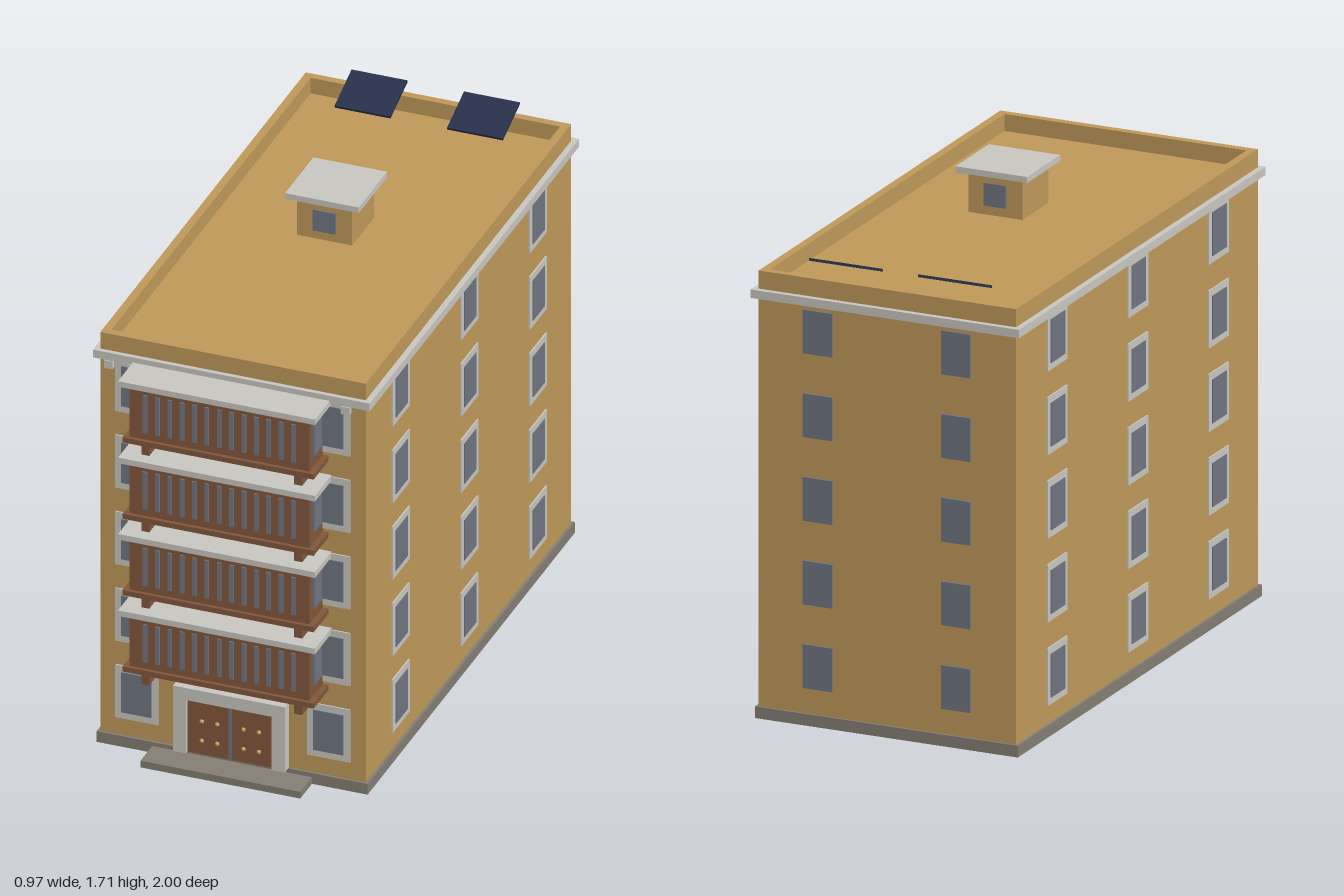
import * as THREE from 'three';

const mat = (name, color) => Object.assign(new THREE.MeshStandardMaterial({ color }), { name });

export function createModel() {
  const root = new THREE.Group();
  root.name = 'apartmentBuilding';
  const wall = mat('ochre wall', 0xc09a5a);
  const stone = mat('pale stone', 0xcac8c1);
  const wood = mat('brown wood', 0x82573b);
  const glass = mat('grey glass', 0x707683);
  const base = mat('plinth grey', 0x857f74);
  const solar = mat('solar blue', 0x28314c);
  const brass = mat('brass', 0xc9a35a);

  // Box given by its extents along each axis
  const box = (name, m, [x0, x1], [y0, y1], [z0, z1], parent = root) => {
    const mesh = new THREE.Mesh(new THREE.BoxGeometry(x1 - x0, y1 - y0, z1 - z0), m);
    mesh.position.set((x0 + x1) / 2, (y0 + y1) / 2, (z0 + z1) / 2);
    mesh.name = name;
    parent.add(mesh);
    return mesh;
  };
  const around = (c, w) => [c - w / 2, c + w / 2];

  const W = 0.465, ZF = 0.852, ZB = -0.98, FLOOR = 0.2875;

  // Main block, plinth, entrance step and cornice
  box('walls', wall, [-W, W], [0.04, 1.479], [ZB, ZF]);
  box('plinth', base, [-0.475, 0.475], [0, 0.04], [-0.988, 0.861]);
  box('entranceStep', base, [-0.28, 0.28], [0, 0.025], [0.85, 0.965]);
  box('cornice', stone, [-0.485, 0.485], [1.446, 1.475], [-1, 0.868]);
  for (let i = 0; i < 11; i++) {
    box('corniceBlock', stone, around(-0.43 + i * 0.083, 0.03), [1.417, 1.446], [ZF, 0.872]);
  }

  // Parapet
  for (const s of [-1, 1]) box('parapetSide', wall, around(s * (W - 0.014), 0.028), [1.475, 1.537], [ZB, ZF]);
  box('parapetFront', wall, [-W + 0.028, W - 0.028], [1.475, 1.537], [ZF - 0.028, ZF]);
  box('parapetBack', wall, [-W + 0.028, W - 0.028], [1.475, 1.537], [ZB, ZB + 0.028]);

  // Window facing +z, placed and turned onto a facade
  const addWindow = (x, y, z, turn, framed = true) => {
    const g = new THREE.Group();
    g.name = 'window';
    if (framed) box('windowFrame', stone, [-0.075, 0.075], [-0.099, 0.099], [-0.004, 0.005], g);
    box('windowPane', glass, [-0.053, 0.053], [-0.075, 0.075], [-0.001, 0.008], g);
    g.position.set(x, y, z);
    g.rotation.y = turn;
    root.add(g);
  };
  for (let i = 0; i < 5; i++) {
    const y = 0.203 + i * FLOOR;
    for (const s of [-1, 1]) {
      for (const z of [0.547, -0.064, -0.675]) addWindow(s * W, y, z, s * Math.PI / 2);
      addWindow(s * 0.336, y, ZF, 0);
      addWindow(s * 0.25, y, ZB, Math.PI, false);
    }
  }

  // Enclosed balconies
  for (let i = 0; i < 4; i++) {
    const g = new THREE.Group();
    g.name = 'balcony';
    g.position.y = 0.36 + i * 0.287;
    root.add(g);
    box('balconyFloor', wood, [-0.335, 0.335], [0, 0.019], [ZF, 0.986], g);
    box('balconyBody', wood, [-0.315, 0.315], [0.019, 0.214], [ZF, 0.973], g);
    box('balconyRoof', stone, [-0.345, 0.345], [0.214, 0.235], [ZF, 1], g);
    for (let k = 0; k < 13; k++) {
      box('balconySlot', glass, around(-0.26 + k * 0.0433, 0.015), [0.045, 0.186], [0.97, 0.978], g);
    }
    for (const s of [-1, 1]) {
      box('balconySidePane', glass, around(s * 0.318, 0.009), [0.065, 0.18], [0.88, 0.948], g);
      box('balconyBracket', wood, around(s * 0.268, 0.028), [-0.053, 0], [ZF, 0.953], g);
    }
  }

  // Entrance: stone surround and double door
  for (const s of [-1, 1]) {
    box('doorJamb', stone, around(s * 0.173, 0.046), [0.04, 0.24], [ZF, 0.89]);
    box('doorLeaf', wood, around(s * 0.078, 0.144), [0.04, 0.24], [ZF, 0.876]);
    for (const x of [0.046, 0.1]) for (const y of [0.09, 0.163]) {
      const stud = new THREE.Mesh(new THREE.SphereGeometry(0.008, 10, 8), brass);
      stud.name = 'doorStud';
      stud.position.set(s * x, y, 0.876);
      root.add(stud);
    }
  }
  box('doorLintel', stone, [-0.196, 0.196], [0.24, 0.285], [ZF, 0.89]);
  box('doorGap', glass, [-0.006, 0.006], [0.04, 0.24], [ZF, 0.879]);

  // Rooftop hut
  box('roofHut', wall, [-0.097, 0.097], [1.545, 1.686], [-0.16, 0.036]);
  box('roofHutCap', stone, [-0.129, 0.129], [1.686, 1.707], [-0.193, 0.06]);
  box('roofHutFrontPane', glass, [-0.04, 0.04], [1.577, 1.655], [0.034, 0.043]);
  box('roofHutBackPane', glass, [-0.04, 0.04], [1.577, 1.655], [-0.167, -0.158]);

  // Tilted solar panels
  for (const s of [-1, 1]) {
    const panel = box('solarPanel', solar, around(s * 0.197, 0.195), around(1.565, 0.009), around(-0.88, 0.162));
    panel.rotation.x = 0.35;
  }
  return root;
}
